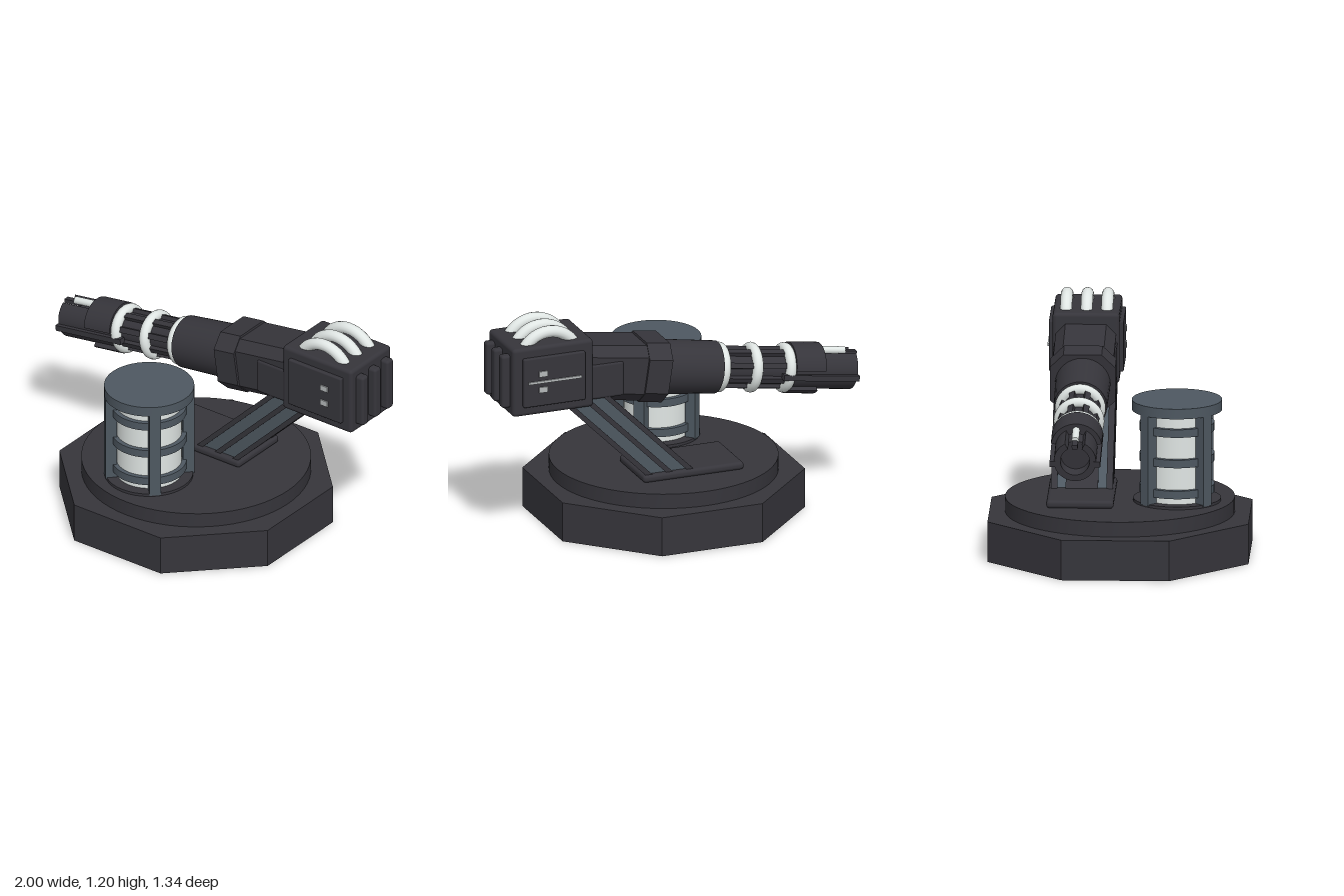
import * as THREE from 'three';
import { toCreasedNormals } from 'three/addons/utils/BufferGeometryUtils.js';
import { RoundedBoxGeometry } from 'three/addons/geometries/RoundedBoxGeometry.js';

const mat = (name, color) => {
  const m = new THREE.MeshStandardMaterial({ color });
  m.name = name;
  return m;
};

export function createModel() {
  const dark = mat('dark gunmetal', 0x36353b);
  const steel = mat('blue grey steel', 0x4e5861);
  const white = mat('white ceramic', 0xe0e6e4);
  const light = mat('light grey', 0xb4b8b9);
  const model = new THREE.Group();
  model.name = 'turret';

  const add = (parent, name, geo, material, x = 0, y = 0, z = 0) => {
    const m = new THREE.Mesh(geo, material);
    m.name = name;
    m.position.set(x, y, z);
    parent.add(m);
    return m;
  };
  const group = (name, x, y, z) => {
    const g = new THREE.Group();
    g.name = name;
    g.position.set(x, y, z);
    model.add(g);
    return g;
  };
  const box = (w, h, d) => new THREE.BoxGeometry(w, h, d);
  const rbox = (w, h, d, r) => new RoundedBoxGeometry(w, h, d, 2, r);
  const cyl = (r, h, n = 40) => toCreasedNormals(new THREE.CylinderGeometry(r, r, h, n), 0.6);
  // cylinder and prism lying along x, starting at x = 0
  const cylX = (r0, r1, len) =>
    new THREE.CylinderGeometry(r1, r0, len, 32).rotateZ(-Math.PI / 2).translate(len / 2, 0, 0);
  const prismX = (shape, len) => toCreasedNormals(
    new THREE.ExtrudeGeometry(shape, { depth: len, bevelEnabled: false, curveSegments: 24 }).rotateY(Math.PI / 2), 0.5);
  // curved plate between two radii and two angles (degrees)
  const shell = (r0, r1, a0, a1) => {
    const s = new THREE.Shape(), k = Math.PI / 180;
    s.absarc(0, 0, r1, a0 * k, a1 * k, false);
    s.absarc(0, 0, r0, a1 * k, a0 * k, true);
    s.closePath();
    return s;
  };
  const chamfered = (w, h, c) => new THREE.Shape([
    [w, h - c], [w - c, h], [c - w, h], [-w, h - c], [-w, c - h], [c - w, -h], [w - c, -h], [w, c - h],
  ].map(([x, y]) => new THREE.Vector2(x, y)));

  // base
  add(model, 'octagonal base', cyl(0.723, 0.21, 8).rotateY(Math.PI / 8), dark, -0.022, 0.105, 0);
  add(model, 'turntable', cyl(0.588, 0.08, 64), dark, -0.022, 0.248, 0);

  // canister with glass core, hoops, corner posts and lid
  const can = group('canister', -0.1, 0, 0.295);
  add(can, 'canister foot', cyl(0.225, 0.015), dark, 0, 0.295, 0);
  add(can, 'canister core', cyl(0.168, 0.48), white, 0, 0.54, 0);
  add(can, 'canister lid', cyl(0.231, 0.053, 48), steel, 0, 0.792, 0);
  for (const y of [0.357, 0.52, 0.68]) add(can, 'hoop', cyl(0.192, 0.042), steel, 0, y, 0);
  for (let i = 0; i < 4; i++) {
    const a = Math.PI / 4 + i * Math.PI / 2;
    add(can, 'post', box(0.058, 0.48, 0.058), steel, 0.2 * Math.sin(a), 0.535, 0.2 * Math.cos(a)).rotation.y = a;
  }

  // slanted support
  add(model, 'support plate', rbox(0.555, 0.042, 0.345, 0.018), dark, -0.043, 0.308, -0.195);
  const strut = group('support strut', 0.3, 0.54, -0.195);
  strut.rotation.z = -Math.PI / 4;
  add(strut, 'strut core', box(0.185, 0.79, 0.166), dark);
  add(strut, 'strut panel', box(0.165, 0.78, 0.29), steel);
  for (const s of [-1, 1]) {
    for (const x of [-0.08, 0, 0.08]) {
      add(strut, 'strut rail', box(0.026, 0.79, 0.033), dark, x, 0, s * 0.142);
    }
  }

  // rear power block with side covers, fins and cooling loops
  const block = group('power block', 0.733, 0.933, -0.195);
  add(block, 'block body', rbox(0.445, 0.37, 0.343, 0.02), dark);
  add(block, 'block neck', rbox(0.22, 0.19, 0.325, 0.015), dark, -0.285, -0.057, 0);
  for (const s of [-1, 1]) {
    add(block, 'side cover', rbox(0.34, 0.265, 0.04, 0.008), dark, 0, 0, s * 0.172);
    for (const y of [0.043, -0.043]) {
      add(block, 'indicator', box(0.046, 0.03, 0.008), light, 0.065, y, s * 0.195);
    }
  }
  add(block, 'back light strip', box(0.29, 0.013, 0.008), light, 0, 0, -0.195);
  for (const z of [-0.105, 0, 0.105]) {
    add(block, 'rear fin', rbox(0.1, 0.285, 0.053, 0.015), dark, 0.217, 0, z);
    add(block, 'cooling loop', new THREE.TorusGeometry(0.159, 0.031, 14, 32, Math.PI), white, 0, 0.076, z);
  }

  // gun, built along local x from the muzzle backwards
  const gun = group('gun', -0.985, 0.69, -0.195);
  gun.rotation.z = 0.147;
  add(gun, 'receiver', prismX(chamfered(0.155, 0.148, 0.05), 0.4), dark, 1.17);
  add(gun, 'receiver collar', prismX(chamfered(0.168, 0.16, 0.07), 0.13), dark, 1.08);
  add(gun, 'barrel jacket', cylX(0.136, 0.143, 0.36), dark, 0.77);
  add(gun, 'barrel core', cylX(0.088, 0.088, 0.55), dark, 0.3);
  for (let i = 0; i < 8; i++) {
    const a = (i + 0.5) * Math.PI / 4;
    add(gun, 'barrel rib', box(0.45, 0.024, 0.03), dark, 0.57, 0.096 * Math.cos(a), 0.096 * Math.sin(a))
      .rotation.x = a;
  }
  for (const x of [0.385, 0.57, 0.75]) {
    add(gun, 'barrel ring', new THREE.TorusGeometry(0.102, 0.028, 14, 40).rotateY(Math.PI / 2), white, x);
  }

  // muzzle: slotted tube, shrouds, side rails and top rod
  add(gun, 'muzzle tube', prismX(shell(0.075, 0.108, 118, 422), 0.34), dark, 0.015);
  add(gun, 'muzzle liner', cylX(0.078, 0.078, 0.25), dark, 0.1);
  add(gun, 'upper shroud', prismX(shell(0.08, 0.132, 10, 170), 0.165), dark, 0.2);
  add(gun, 'lower shroud', prismX(shell(0.08, 0.132, 225, 315), 0.16), dark, 0.22);
  for (const s of [-1, 1]) {
    add(gun, 'side rail', box(0.42, 0.03, 0.035), dark, 0.22, -0.015, s * 0.112);
  }
  add(gun, 'front sight rail', box(0.1, 0.022, 0.03), dark, 0.045, 0.085, 0);
  add(gun, 'top rod', cylX(0.019, 0.019, 0.16), white, 0.06, 0.096, 0);

  return model;
}
